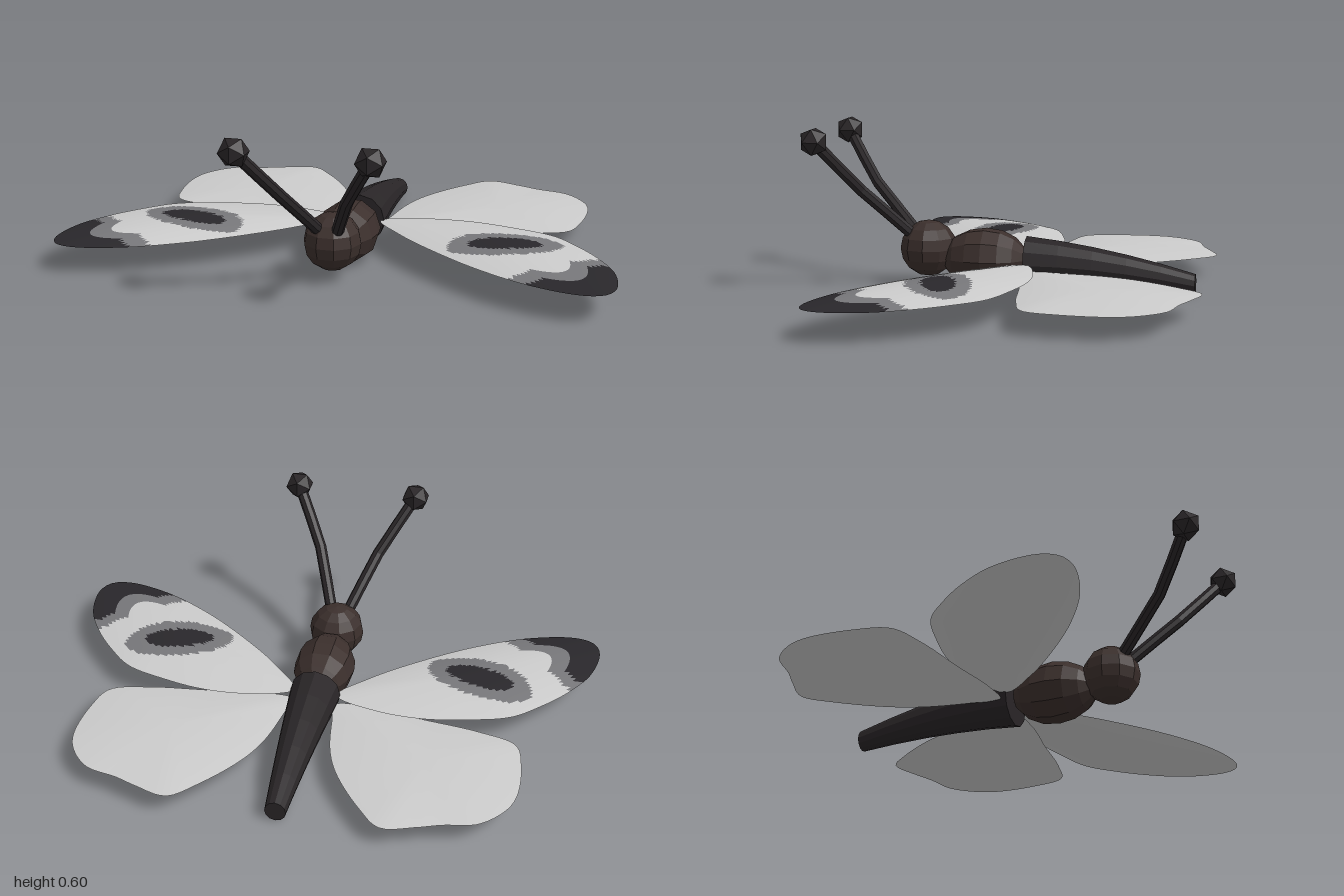
import * as THREE from 'three';

const material = (color, extra = {}) => new THREE.MeshStandardMaterial({ color, ...extra });
const grey = material(0xcccccc);
const midGrey = material(0x77777a);
const black = material(0x29272b);
const brown = material(0x3b2f2c, { flatShading: true });
const dark = material(0x292527, { flatShading: true });

function add(parent, name, geometry, mat) {
  const mesh = new THREE.Mesh(geometry, mat);
  mesh.name = name;
  parent.add(mesh);
  return mesh;
}

// Wing outlines as [x, z], from the root round the back edge to the front edge
const FOREWING = [[0.08, -0.06], [0.235, -0.12], [0.41, -0.13], [0.57, -0.1], [0.72, -0.05], [0.82, 0.04],
  [0.91, 0.15], [0.98, 0.28], [1, 0.43], [0.97, 0.49], [0.9, 0.51], [0.73, 0.47], [0.54, 0.37],
  [0.35, 0.23], [0.18, 0.075]];
const HINDWING = [[0.08, -0.08], [0.09, -0.18], [0.12, -0.35], [0.17, -0.475], [0.285, -0.64], [0.37, -0.72],
  [0.49, -0.69], [0.57, -0.66], [0.685, -0.63], [0.765, -0.545], [0.795, -0.46], [0.79, -0.29],
  [0.755, -0.175], [0.62, -0.13], [0.4, -0.1], [0.2, -0.07]];

// Forewing markings: 2 = black, 1 = soft grey border, 0 = plain
function forewingShade(x, z, s) {
  const spot = (rx, rz) => ((x - 0.58) / rx) ** 2 + ((z - 0.14 + (x - 0.58) * 0.2) / rz) ** 2 < 1;
  if ((s > 0.73 && x + z > 1.16) || spot(0.13, 0.06)) return 2;
  if ((s > 0.6 && x + z > 1.07) || spot(0.2, 0.115)) return 1;
  return 0;
}

// One domed skin of a wing: rings shrink from the outline to the centre.
// side = +1 left / -1 right, dir = +1 upper / -1 lower skin
function wingSkin(outline, [cx, cz], edgeY, bulge, side, dir, shade) {
  const rings = 20, n = 96;
  const curve = new THREE.CatmullRomCurve3(outline.map(([x, z]) => new THREE.Vector3(x, 0, z)), true, 'centripetal');
  const edge = curve.getSpacedPoints(n).slice(0, n);
  const pos = [];
  const faces = [[], [], []];
  for (let i = 0; i <= rings; i++) {
    const s = i / rings;
    for (const p of edge) {
      pos.push(side * (cx + (p.x - cx) * s), edgeY + dir * bulge * (1 - s * s), cz + (p.z - cz) * s);
    }
  }
  for (let i = 0; i < rings; i++) {
    for (let j = 0; j < n; j++) {
      const k = (j + 1) % n, s = (i + 0.5) / rings;
      const a = i * n + j, b = i * n + k, c = a + n, d = b + n;
      const mx = cx + ((edge[j].x + edge[k].x) / 2 - cx) * s;
      const mz = cz + ((edge[j].z + edge[k].z) / 2 - cz) * s;
      const list = faces[shade(mx, mz, s)];
      const tris = i ? [[a, b, c], [b, d, c]] : [[b, d, c]];
      for (const [p, q, r] of tris) list.push(...(side * dir > 0 ? [p, q, r] : [p, r, q]));
    }
  }
  // Normals come from the whole skin, so the markings blend without creases
  const whole = new THREE.BufferGeometry();
  whole.setAttribute('position', new THREE.Float32BufferAttribute(pos, 3));
  whole.setIndex(faces.flat());
  whole.computeVertexNormals();
  return faces.map((list) => {
    const part = new THREE.BufferGeometry();
    part.setAttribute('position', whole.attributes.position);
    part.setAttribute('normal', whole.attributes.normal);
    part.setIndex(list);
    return part;
  });
}

function wing(name, outline, centre, edgeY, bulge, side, shade) {
  const group = new THREE.Group();
  group.name = name;
  const plain = () => 0;
  const upper = wingSkin(outline, centre, edgeY, bulge, side, 1, shade ?? plain);
  const lower = wingSkin(outline, centre, edgeY, bulge, side, -1, plain);
  add(group, 'upperSkin', upper[0], grey);
  add(group, 'lowerSkin', lower[0], grey);
  if (shade) {
    add(group, 'markingBorder', upper[1], midGrey);
    add(group, 'marking', upper[2], black);
  }
  return group;
}

function antenna(name, side) {
  const group = new THREE.Group();
  group.name = name;
  const points = [[0.03, 0.19, 0.36], [0.075, 0.285, 0.455], [0.117, 0.37, 0.54], [0.17, 0.455, 0.605], [0.23, 0.55, 0.675]]
    .map(([x, y, z]) => new THREE.Vector3(side * x, y, z));
  add(group, 'stalk', new THREE.TubeGeometry(new THREE.CatmullRomCurve3(points), 4, 0.022, 8), dark);
  add(group, 'knob', new THREE.IcosahedronGeometry(0.055, 0), dark).position.copy(points[4]);
  return group;
}

export function createModel() {
  const model = new THREE.Group();
  model.name = 'butterfly';

  // Body
  const thorax = add(model, 'thorax', new THREE.SphereGeometry(1, 10, 8).rotateX(Math.PI / 2), brown);
  thorax.scale.set(0.113, 0.112, 0.158);
  thorax.position.set(0, 0.11, 0.1);
  const head = add(model, 'head', new THREE.SphereGeometry(0.104, 10, 8), brown);
  head.position.set(0, 0.142, 0.312);

  // Abdomen: a tapered tube drooping towards the tail
  const abdomen = new THREE.CylinderGeometry(0.038, 0.094, 0.615, 12, 5).rotateX(-Math.PI / 2).translate(0, 0, -0.3625);
  const p = abdomen.attributes.position;
  for (let i = 0; i < p.count; i++) {
    const t = Math.max(0, (-0.055 - p.getZ(i)) / 0.615);
    p.setY(i, p.getY(i) + 0.102 - 0.063 * t ** 1.9);
  }
  abdomen.computeVertexNormals();
  add(model, 'abdomen', abdomen, dark);

  // Paired parts
  for (const [label, side] of [['left', 1], ['right', -1]]) {
    model.add(wing(label + 'Forewing', FOREWING, [0.57, 0.15], 0.104, 0.026, side, forewingShade));
    model.add(wing(label + 'Hindwing', HINDWING, [0.46, -0.36], 0.08, 0.02, side));
    model.add(antenna(label + 'Antenna', side));
  }
  return model;
}
